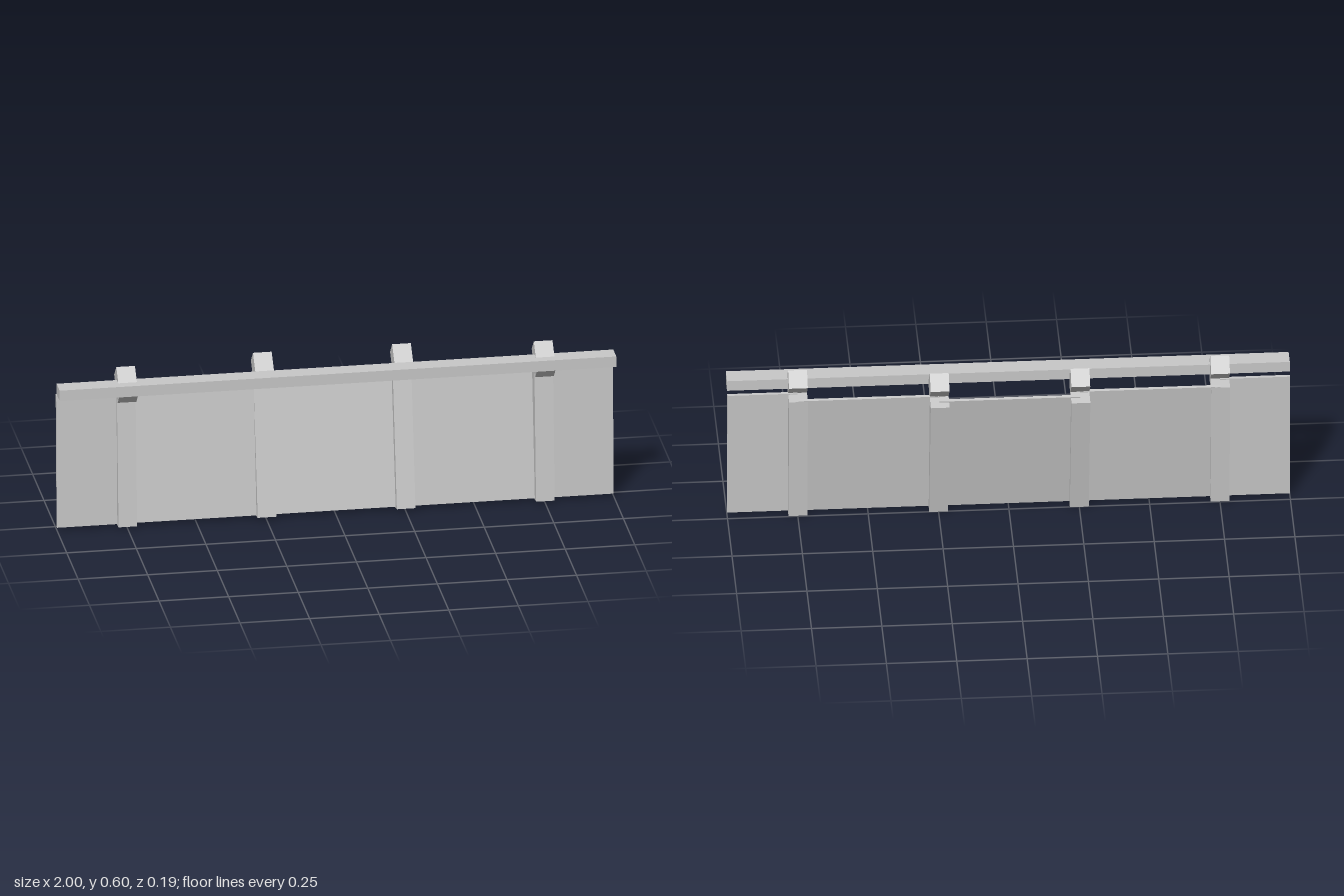
import * as THREE from 'three';

export function createModel() {
  const model = new THREE.Group();
  const grey = new THREE.MeshStandardMaterial({ color: 0xc8c8c8 });
  grey.name = 'plain grey';

  const addBox = (name, w, h, d, x, y, z) => {
    const mesh = new THREE.Mesh(new THREE.BoxGeometry(w, h, d), grey);
    mesh.name = name;
    mesh.position.set(x, y, z);
    model.add(mesh);
    return mesh;
  };

  // Upright that pivots about the shared base line and leans backwards
  const BASE_Y = 0.006, BASE_Z = 0.031, HEIGHT = 0.5;
  const addLeaning = (name, w, d, x, degrees, lift = 0) => {
    const a = THREE.MathUtils.degToRad(degrees);
    const r = HEIGHT / 2;
    const mesh = addBox(name, w, HEIGHT, d, x,
      BASE_Y + lift + r * Math.cos(a), BASE_Z - r * Math.sin(a));
    mesh.rotation.x = -a;
  };

  const OUTER_LEAN = 4.2, INNER_LEAN = 10.5;

  // Posts, each with a tilted block above it
  for (const side of [-1, 1]) {
    const label = side > 0 ? 'left' : 'right';
    const posts = [['Outer', 0.75, OUTER_LEAN, 0.03], ['Inner', 0.25, INNER_LEAN, -0.024]];
    for (const [place, x, lean, blockZ] of posts) {
      addLeaning(`${label}${place}Post`, 0.067, 0.067, side * x, lean);
      const block = addBox(`${label}${place}Block`, 0.067, 0.11, 0.067, side * x, 0.54, blockZ);
      block.rotation.x = -Math.PI / 4;
    }
    // Side panels lean by the average of their neighbours
    addLeaning(`${label}EndPanel`, 0.25, 0.012, side * 0.875, OUTER_LEAN / 2, 0.004);
    addLeaning(`${label}MiddlePanel`, 0.5, 0.012, side * 0.5, (OUTER_LEAN + INNER_LEAN) / 2, 0.004);
  }
  addLeaning('centrePanel', 0.5, 0.012, 0, INNER_LEAN, 0.004);

  // Long straight rail along the front of the blocks
  addBox('topRail', 2, 0.04, 0.067, 0, 0.538, 0.061);

  return model;
}
